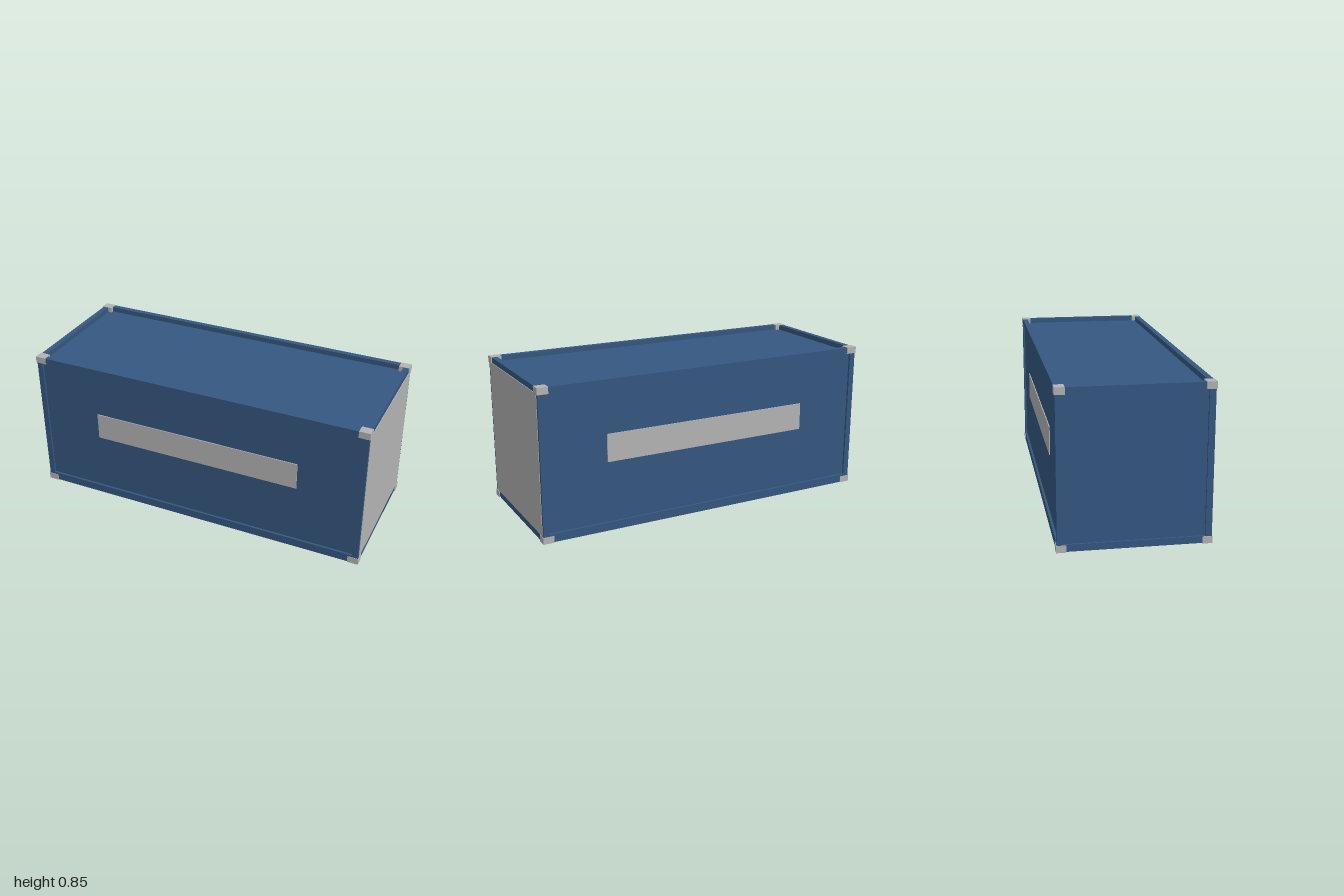
import * as THREE from 'three';

export function createModel() {
  const model = new THREE.Group();
  const blue = new THREE.MeshStandardMaterial({ color: 0x355781 });
  blue.name = 'container blue';
  const grey = new THREE.MeshStandardMaterial({ color: 0xb4b4b4 });
  grey.name = 'light grey';

  // Box given by its minimum and maximum corners
  function box(name, material, min, max) {
    const size = max.map((v, i) => v - min[i]);
    const mesh = new THREE.Mesh(new THREE.BoxGeometry(...size), material);
    mesh.position.set(...max.map((v, i) => (v + min[i]) / 2));
    mesh.name = name;
    model.add(mesh);
  }
  // Box on the +x/+z side, reflected by the signs sx and sz
  function mirrored(name, material, min, max, sx, sz) {
    const xs = [min[0] * sx, max[0] * sx].sort((a, b) => a - b);
    const zs = [min[2] * sz, max[2] * sz].sort((a, b) => a - b);
    box(name, material, [xs[0], min[1], zs[0]], [xs[1], max[1], zs[1]]);
  }

  const H = 0.853, X = 0.997, Z = 0.4;

  for (const s of [-1, 1]) {
    // Long rails, recessed side wall and its plain panel
    mirrored('topSideRail', blue, [-X, 0.82, 0.368], [X, H - 0.002, Z], 1, s);
    mirrored('bottomSideRail', blue, [-X, 0.002, 0.368], [X, 0.05, Z], 1, s);
    mirrored('sideWall', blue, [-0.97, 0.04, 0.375], [0.97, 0.83, 0.387], 1, s);
    mirrored('sidePanel', grey, [-0.62, 0.393, 0.387], [0.617, 0.55, 0.392], 1, s);

    // Short rails across both ends
    mirrored('topEndRail', blue, [0.963, 0.82, -0.37], [X - 0.002, H - 0.002, 0.37], s, 1);
    mirrored('bottomEndRail', blue, [0.963, 0.002, -0.37], [X - 0.002, 0.04, 0.37], s, 1);

    // Corner posts and corner castings
    for (const t of [-1, 1]) {
      mirrored('cornerPost', blue, [0.963, 0.03, 0.365], [X - 0.001, 0.83, Z - 0.001], s, t);
      for (const y of [0, H - 0.038])
        mirrored('cornerCasting', grey, [0.938, y, 0.35], [1, y + 0.038, 0.403], s, t);
    }
  }

  // Sunken roof, blank end wall and door end; the underside is open
  box('roof', blue, [-0.97, 0.81, -0.375], [0.97, 0.822, 0.375]);
  box('endWall', blue, [-0.985, 0.03, -0.37], [-0.975, 0.83, 0.37]);
  box('doorEnd', grey, [0.99, 0.04, -0.384], [0.9985, 0.82, 0.384]);

  return model;
}
